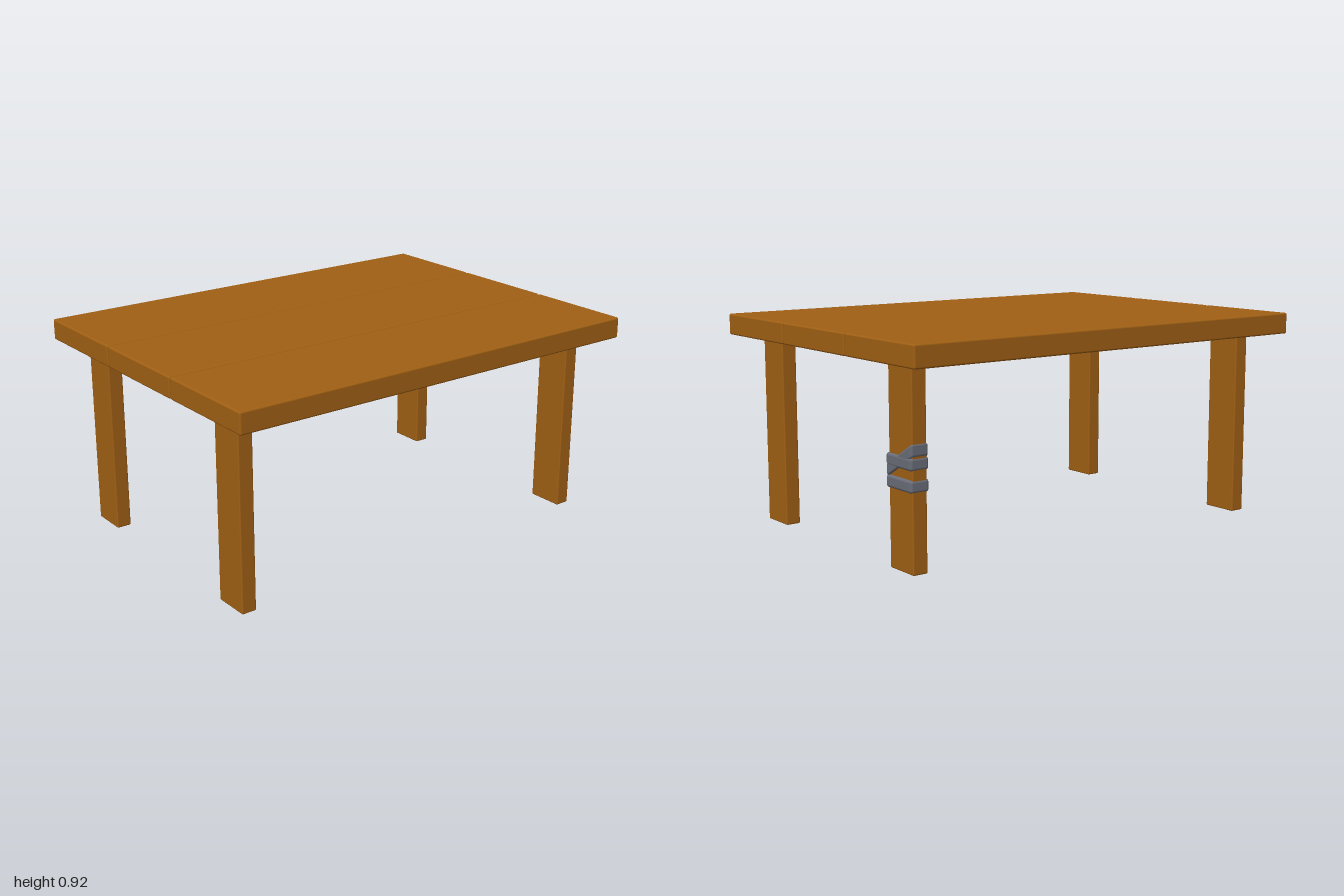
import * as THREE from 'three';
import { RoundedBoxGeometry } from 'three/addons/geometries/RoundedBoxGeometry.js';

export function createModel() {
  const table = new THREE.Group();
  table.name = 'table';
  const wood = new THREE.MeshStandardMaterial({ color: 0xa06014 });
  const cloth = new THREE.MeshStandardMaterial({ color: 0x6a6d78 });

  function block(name, parent, material, size, position, radius, segments = 2) {
    const mesh = new THREE.Mesh(new RoundedBoxGeometry(...size, segments, radius), material);
    mesh.name = name;
    mesh.position.set(...position);
    parent.add(mesh);
    return mesh;
  }

  // Three planks side by side form the top
  const top = new THREE.Group();
  top.name = 'tableTop';
  table.add(top);
  for (let i = -1; i <= 1; i++) {
    block('plank', top, wood, [2, 0.093, 0.492], [0, 0.872, i * 0.497], 0.008);
  }

  // Four flat legs
  const legX = 0.877, legZ = 0.505;
  for (const sx of [-1, 1]) {
    for (const sz of [-1, 1]) {
      const name = (sz > 0 ? 'front' : 'back') + (sx > 0 ? 'Left' : 'Right') + 'Leg';
      block(name, table, wood, [0.067, 0.822, 0.164], [sx * legX, 0.411, sz * legZ], 0.006);
    }
  }

  // Repair wrapping on the back left leg: two level bands and one slanted band
  const wrap = new THREE.Group();
  wrap.name = 'legWrapping';
  wrap.position.set(legX, 0, -0.501);
  table.add(wrap);
  const bandSize = [0.085, 0.052, 0.178];
  for (const y of [0.35, 0.437]) {
    block('levelBand', wrap, cloth, bandSize, [0, y, 0], 0.012, 3);
  }
  const slanted = block('slantedBand', wrap, cloth, [0.082, 0.056, 0.178], [0, 0.442, 0], 0.012, 3);
  // Shear so the band climbs towards the back
  slanted.geometry.applyMatrix4(new THREE.Matrix4().set(
    1, 0, 0, 0,
    0, 1, -0.57, 0,
    0, 0, 1, 0,
    0, 0, 0, 1));

  return table;
}
